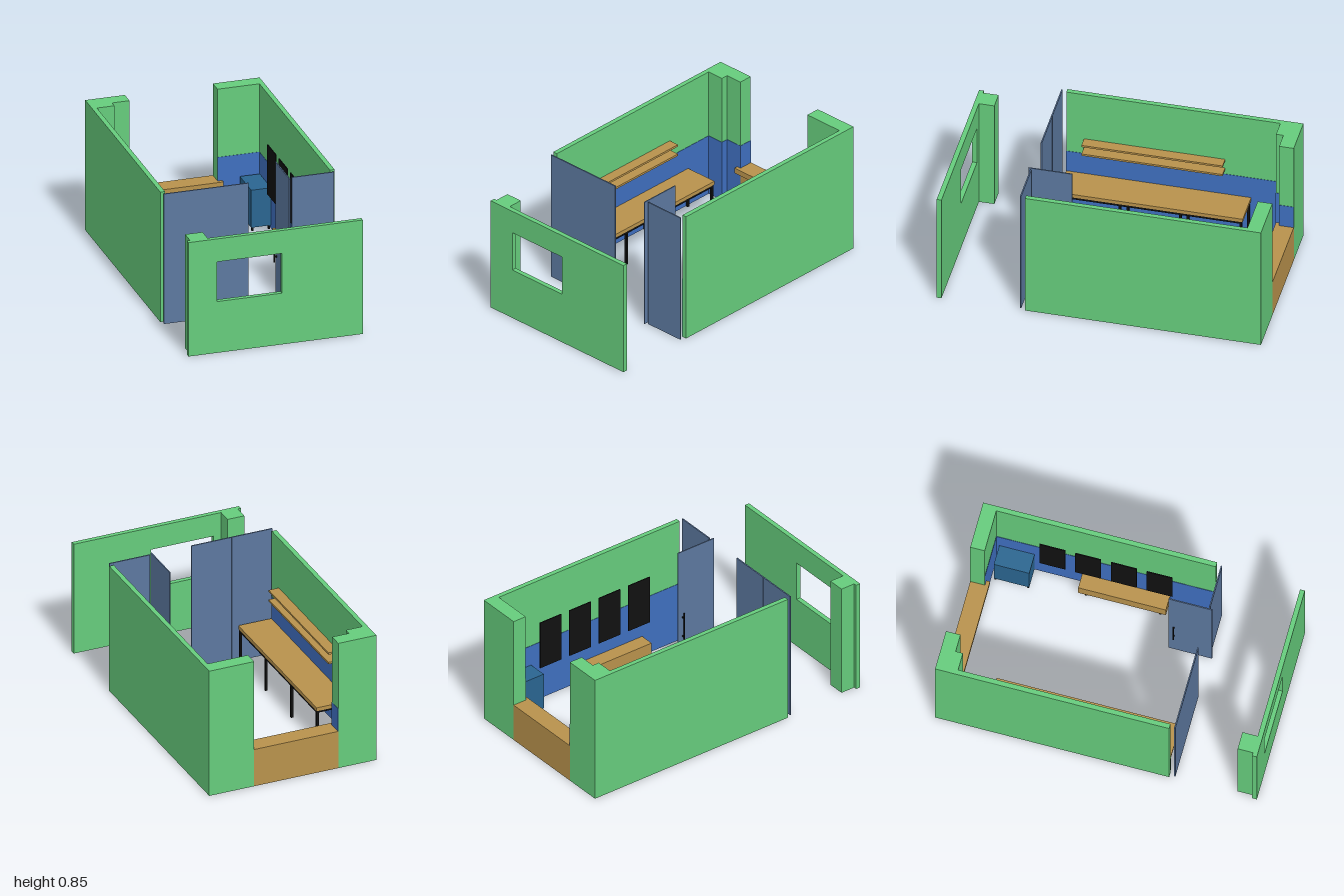
import * as THREE from 'three';

const mat = (color) => new THREE.MeshStandardMaterial({ color });
const GREEN = mat(0x66cc7c), BLUE = mat(0x3f6fbf), PANEL = mat(0x5c789f);
const WOOD = mat(0xb8924c), BLACK = mat(0x101010), NAVY = mat(0x2a6590);

export function createModel() {
  const model = new THREE.Group();

  // box from its x, y and z ranges
  const box = (name, material, [x0, x1], [y0, y1], [z0, z1], parent = model) => {
    const mesh = new THREE.Mesh(new THREE.BoxGeometry(x1 - x0, y1 - y0, z1 - z0), material);
    mesh.position.set((x0 + x1) / 2, (y0 + y1) / 2, (z0 + z1) / 2);
    mesh.name = name;
    parent.add(mesh);
    return mesh;
  };
  const group = (name) => {
    const g = new THREE.Group();
    g.name = name;
    model.add(g);
    return g;
  };

  // long walls, back corners and pillar, as one footprint per side
  const wall = (name, points) => {
    const shape = new THREE.Shape(points.map(([x, z]) => new THREE.Vector2(x, -z)));
    const geometry = new THREE.ExtrudeGeometry(shape, { depth: 0.85, bevelEnabled: false });
    geometry.rotateX(-Math.PI / 2);
    const mesh = new THREE.Mesh(geometry, GREEN);
    mesh.name = name;
    model.add(mesh);
  };
  wall('rightWall', [[-0.55, 0.455], [-0.52, 0.455], [-0.52, -0.865], [-0.41, -0.865],
    [-0.41, -0.91], [-0.30, -0.91], [-0.30, -1], [-0.55, -1]]);
  wall('leftWall', [[0.55, 0.455], [0.55, -1], [0.255, -1], [0.255, -0.91],
    [0.52, -0.91], [0.52, 0.455]]);

  // painted lower half of the inner walls
  const paint = group('lowerWallPaint');
  const t = 0.002, h = [0.001, 0.405];
  box('rightWallPaint', BLUE, [-0.52, -0.52 + t], h, [-0.865, 0.455], paint);
  box('pillarFrontPaint', BLUE, [-0.52, -0.41 + t], h, [-0.865, -0.865 + t], paint);
  box('pillarSidePaint', BLUE, [-0.41, -0.41 + t], h, [-0.91, -0.865], paint);
  box('backCornerPaint', BLUE, [-0.41, -0.30 + t], h, [-0.91, -0.91 + t], paint);
  box('openingSidePaint', BLUE, [-0.30, -0.30 + t], h, [-0.999, -0.91], paint);
  box('leftWallPaint', BLUE, [0.52 - t, 0.52], h, [-0.91, 0.455], paint);
  box('leftCornerPaint', BLUE, [0.256, 0.52], h, [-0.91, -0.91 + t], paint);

  // low back parapet with its sill
  box('backParapet', WOOD, [-0.30, 0.255], [0, 0.25], [-1, -0.91]);
  box('backSill', WOOD, [-0.325, 0.285], [0.215, 0.25], [-0.91, -0.885]);

  // detached front wall with window opening and pillar
  const front = new THREE.Shape();
  front.moveTo(-0.55, 0).lineTo(0.55, 0).lineTo(0.55, 0.745).lineTo(-0.55, 0.745).closePath();
  const opening = new THREE.Path();
  opening.moveTo(-0.37, 0.335).lineTo(-0.37, 0.595).lineTo(0.04, 0.595).lineTo(0.04, 0.335).closePath();
  front.holes.push(opening);
  const frontWall = new THREE.Mesh(
    new THREE.ExtrudeGeometry(front, { depth: 0.03, bevelEnabled: false }), GREEN);
  frontWall.position.z = 0.97;
  frontWall.name = 'frontWall';
  model.add(frontWall);
  box('frontPillar', GREEN, [-0.53, -0.42], [0, 0.745], [0.875, 0.97]);

  // partition panels
  const partition = group('partition');
  for (const x of [[-0.537, -0.271], [-0.269, -0.004], [0.268, 0.535]])
    box('partitionPanel', PANEL, x, [0, 0.85], [0.482, 0.49], partition);

  // open door with a bar handle on both faces
  const door = group('door');
  box('doorLeaf', PANEL, [0.247, 0.254], [0, 0.85], [0.235, 0.505], door);
  for (const x of [0.23, 0.271])
    box('handleBar', BLACK, [x - 0.004, x + 0.004], [0.21, 0.415], [0.264, 0.272], door);
  for (const y of [0.245, 0.38])
    box('handleMount', BLACK, [0.23, 0.271], [y - 0.004, y + 0.004], [0.264, 0.272], door);

  // long worktop on a black frame
  const table = group('longTable');
  box('tableTop', WOOD, [-0.518, -0.30], [0.232, 0.255], [-0.685, 0.455], table);
  for (const x of [-0.516, -0.317])
    box('tableRail', BLACK, [x, x + 0.015], [0.217, 0.232], [-0.68, 0.452], table);
  for (let i = 0; i < 4; i++) {
    const z = 0.437 - i * 0.372;
    box('tableCrossbar', BLACK, [-0.516, -0.302], [0.217, 0.232], [z, z + 0.015], table);
    for (const x of [-0.516, -0.317])
      box('tableLeg', BLACK, [x, x + 0.015], [0, 0.232], [z, z + 0.015], table);
  }

  // pair of wall shelves above the worktop
  for (const y of [0.44, 0.505])
    box('wallShelf', WOOD, [-0.517, -0.45], [y, y + 0.013], [-0.525, 0.345]);

  // bench on short legs
  const bench = group('bench');
  box('benchBody', WOOD, [0.425, 0.518], [0.05, 0.138], [-0.375, 0.17], bench);
  for (const x of [0.445, 0.50])
    for (const z of [-0.33, 0.13])
      box('benchLeg', BLACK, [x - 0.007, x + 0.007], [0, 0.05], [z - 0.007, z + 0.007], bench);

  // row of dark wall panels
  for (let i = 0; i < 4; i++) {
    const z = -0.63 + i * 0.222;
    box('wallPanel', BLACK, [0.477, 0.483], [0.25, 0.575], [z, z + 0.16]);
  }

  // corner cabinet on short feet
  const cabinet = group('cornerCabinet');
  box('cabinetBody', NAVY, [0.39, 0.515], [0.025, 0.27], [-0.89, -0.67], cabinet);
  for (const x of [0.40, 0.505])
    for (const z of [-0.88, -0.68])
      box('cabinetFoot', BLACK, [x - 0.006, x + 0.006], [0, 0.025], [z - 0.006, z + 0.006], cabinet);

  return model;
}
